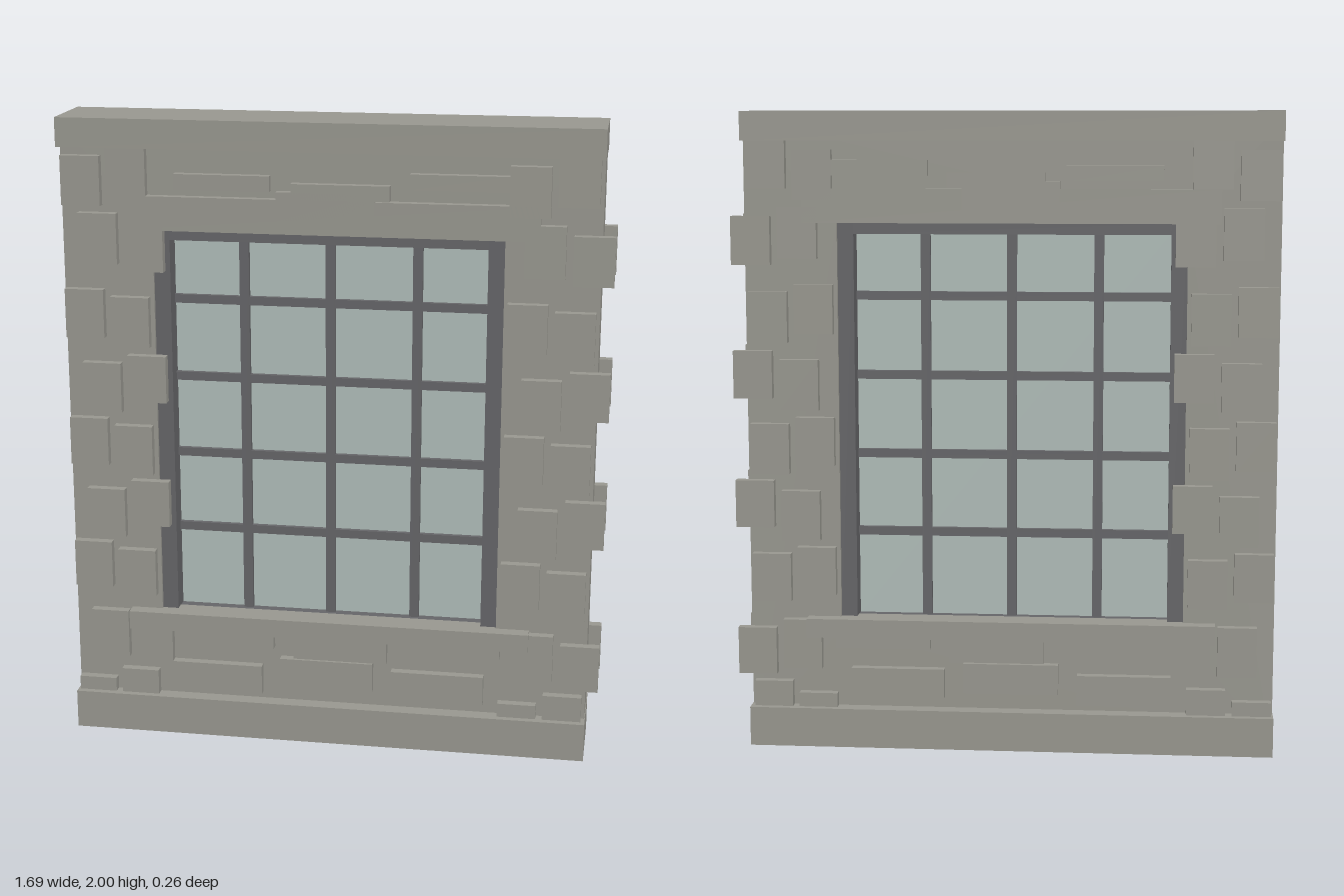
import * as THREE from 'three';

const stone = new THREE.MeshStandardMaterial({ name: 'stone', color: 0x9b9a92 });
const frameGrey = new THREE.MeshStandardMaterial({ name: 'frameGrey', color: 0x67676a });
const glass = new THREE.MeshStandardMaterial({ name: 'glass', color: 0xb3c0bc });

// Box given by its limits on each axis
function block(parent, name, material, [x0, x1], [y0, y1], [z0, z1]) {
  const mesh = new THREE.Mesh(new THREE.BoxGeometry(x1 - x0, y1 - y0, z1 - z0), material);
  mesh.position.set((x0 + x1) / 2, (y0 + y1) / 2, (z0 + z1) / 2);
  mesh.name = name;
  parent.add(mesh);
  return mesh;
}

function rectangle(path, x0, x1, y0, y1) {
  path.moveTo(x0, y0);
  path.lineTo(x1, y0);
  path.lineTo(x1, y1);
  path.lineTo(x0, y1);
  path.closePath();
  return path;
}

export function createModel() {
  const model = new THREE.Group();
  model.name = 'stoneWallWindow';
  const L = -0.845, R = 0.81;

  // Wall slab with the window opening
  const shape = rectangle(new THREE.Shape(), L + 0.002, R - 0.002, 0.02, 1.98);
  shape.holes.push(rectangle(new THREE.Path(), -0.56, 0.52, 0.38, 1.66));
  const wallGeometry = new THREE.ExtrudeGeometry(shape, { depth: 0.164, bevelEnabled: false });
  wallGeometry.translate(0, 0, -0.082);
  const wall = new THREE.Mesh(wallGeometry, stone);
  wall.name = 'wall';
  model.add(wall);

  // Plinth, coping and sill
  block(model, 'plinth', stone, [L, R], [0, 0.125], [-0.13, 0.13]);
  block(model, 'coping', stone, [L, R], [1.91, 2], [-0.125, 0.125]);
  for (const s of [-1, 1]) {
    block(model, 'sill', stone, [-0.66, 0.625], [0.355, 0.415], s < 0 ? [-0.125, -0.04] : [0.04, 0.125]);
  }

  // Window frame, glazing bars and pane
  const frame = new THREE.Group();
  frame.name = 'windowFrame';
  model.add(frame);
  const depth = [-0.072, 0.072];
  block(frame, 'leftJamb', frameGrey, [0.47, 0.52], [0.38, 1.66], depth);
  block(frame, 'rightJamb', frameGrey, [-0.56, -0.51], [0.38, 1.66], depth);
  block(frame, 'headRail', frameGrey, [-0.51, 0.47], [1.625, 1.66], depth);
  block(frame, 'bottomRail', frameGrey, [-0.51, 0.47], [0.38, 0.413], depth);
  for (const x of [-0.288, -0.018, 0.252]) {
    block(frame, 'verticalBar', frameGrey, [x - 0.015, x + 0.015], [0.41, 1.63], [-0.022, 0.022]);
  }
  for (const y of [0.682, 0.932, 1.182, 1.431]) {
    block(frame, 'horizontalBar', frameGrey, [-0.51, 0.47], [y - 0.0135, y + 0.0135], [-0.021, 0.021]);
  }
  block(frame, 'pane', glass, [-0.51, 0.47], [0.41, 1.63], [-0.006, 0.006]);

  // Columns of raised stones: left edge, then bottom and top of each stone
  const columns = [
    [-0.838, [[0.12, 0.17], [0.49, 0.642], [0.902, 1.055], [1.316, 1.469], [1.73, 1.883]]],
    [-0.79, [[0.25, 0.408], [0.663, 0.822], [1.077, 1.236], [1.55, 1.708]]],
    [-0.695, [[0.12, 0.207], [0.467, 0.62], [0.875, 1.034], [1.289, 1.448], [1.765, 1.915]]],
    [-0.645, [[0.23, 0.38], [0.705, 0.854], [1.114, 1.263], [1.53, 1.68]]],
  ];
  // Bricks above and below the window: x range, y range
  const bricks = [
    [[-0.53, -0.23], [0.125 + 0.023, 0.244]],
    [[-0.17, 0.13], [0.18, 0.276]],
    [[0.19, 0.485], [0.16, 0.255]],
    [[-0.485, -0.19], [0.307, 0.36]],
    [[-0.125, 0.175], [0.28, 0.36]],
    [[0.235, 0.535], [0.318, 0.36]],
    [[-0.485, -0.19], [1.788, 1.835]],
    [[-0.17, 0.13], [1.7, 1.788]],
    [[-0.125, 0.175], [1.767, 1.814]],
    [[0.235, 0.535], [1.804, 1.852]],
  ];
  for (const s of [-1, 1]) {
    const face = new THREE.Group();
    face.name = s > 0 ? 'frontStones' : 'backStones';
    model.add(face);
    const z = s > 0 ? [0.08, 0.11] : [-0.11, -0.08];
    // The same columns flank both sides of the window
    for (const shift of [0, 1.37]) {
      for (const [x, spans] of columns) {
        for (const span of spans) block(face, 'quoin', stone, [x + shift, x + shift + 0.122], span, z);
      }
    }
    for (const [xs, ys] of bricks) block(face, 'brick', stone, xs, ys, z);
    block(face, 'lintel', stone, [-0.66, 0.625], [1.66, 1.765], z);
  }
  return model;
}
